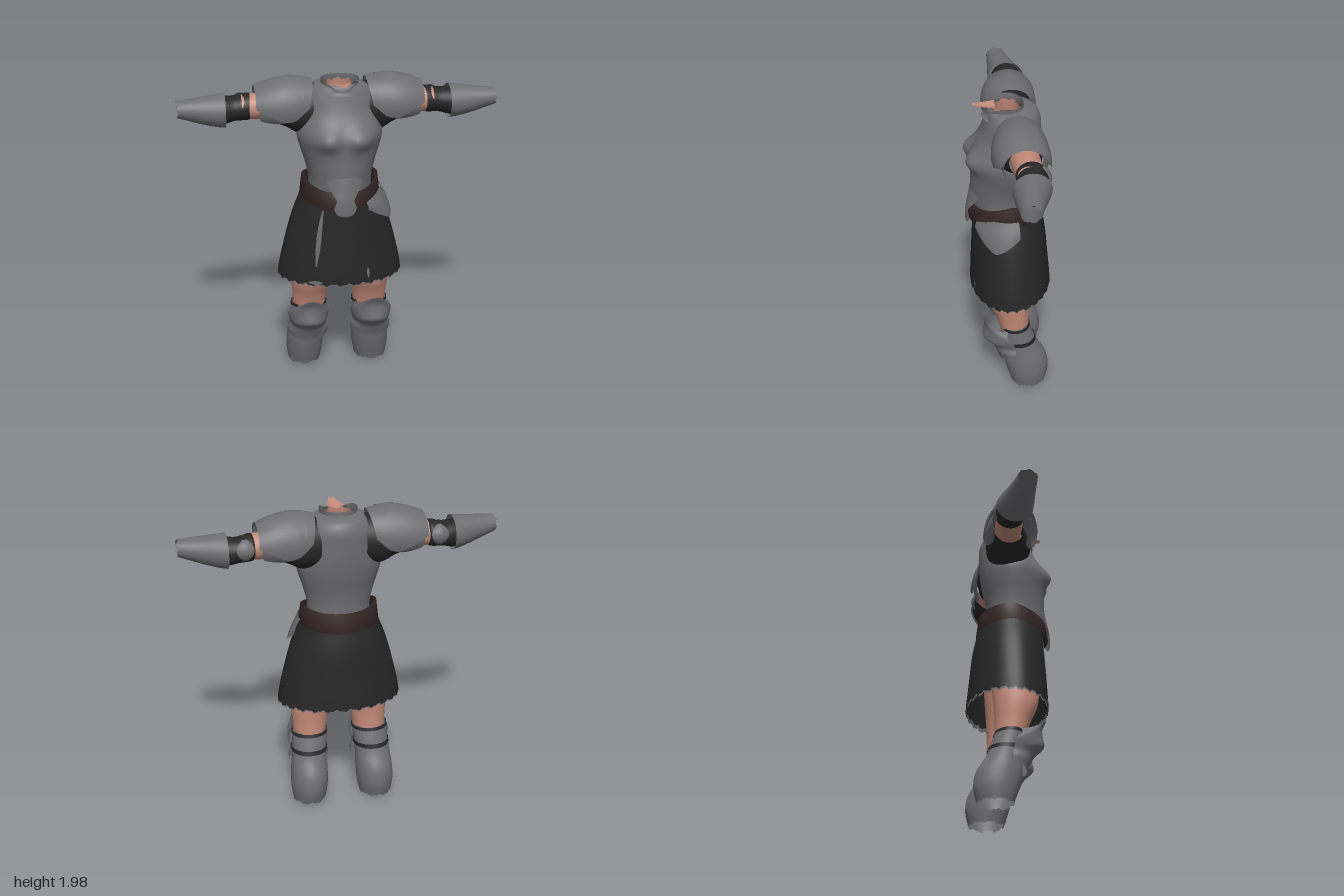
import * as THREE from 'three';

const mat = (name, color) => new THREE.MeshStandardMaterial({ name, color, side: THREE.DoubleSide });
const PI = Math.PI;

// Smooth sample of a list of number rows, t in 0..1
function sample(keys, t) {
  const f = Math.min(Math.max(t, 0), 1) * (keys.length - 1);
  const i = Math.min(Math.floor(f), keys.length - 2), k = f - i;
  const at = (j) => keys[Math.min(Math.max(j, 0), keys.length - 1)];
  const [a, b, c, d] = [at(i - 1), at(i), at(i + 1), at(i + 2)];
  return b.map((q, n) => q + 0.5 * k * (c[n] - a[n]
    + k * (2 * a[n] - 5 * q + 4 * c[n] - d[n] + k * (3 * (q - c[n]) + d[n] - a[n]))));
}

// Surface from a rule fn(u, v) -> [x, y, z]; wrap joins u = 1 to u = 0
function surface(name, material, nu, nv, fn, wrap = false) {
  const pos = [], idx = [], cols = wrap ? nu : nu + 1;
  for (let j = 0; j <= nv; j++)
    for (let i = 0; i < cols; i++) pos.push(...fn(i / nu, j / nv));
  for (let j = 0; j < nv; j++)
    for (let i = 0; i < nu; i++) {
      const a = j * cols + i, b = j * cols + (i + 1) % cols;
      idx.push(a, b, a + cols, b, b + cols, a + cols);
    }
  const g = new THREE.BufferGeometry();
  g.setAttribute('position', new THREE.Float32BufferAttribute(pos, 3));
  g.setIndex(idx);
  g.computeVertexNormals();
  const m = new THREE.Mesh(g, material);
  m.name = name;
  return m;
}

const jagged = (u, n) => Math.sin(u * n * 6.283) * 0.6 + Math.sin(u * n * 14.3 + 1) * 0.4;

// Upright shell, rows [y, cx, cz, rx, rzFront, rzBack]
function upright(name, material, keys, { s = 1, nu = 40, nv = 24, jag = 0, warp } = {}) {
  return surface(name, material, nu, nv, (u, v) => {
    const [y, cx, cz, rx, f, b] = sample(keys, v), a = u * 2 * PI, sn = Math.sin(a);
    const p = [cx + rx * Math.cos(a), y, cz + (sn > 0 ? f : b) * sn];
    if (v === 1) p[1] += jag * jagged(u, 7);
    if (warp) warp(p, a, v);
    return [p[0] * s, p[1], p[2]];
  }, true);
}

// Shell along the arm, rows [x, cy, cz, ry, rz, start angle]; open below when arc is set
function sideways(name, material, keys, { s = 1, nu = 32, nv = 14, jag = 0, arc = false, warp } = {}) {
  return surface(name, material, nu, nv, (u, v) => {
    const [x, cy, cz, ry, rz, a0 = 0] = sample(keys, v);
    const a = arc ? a0 + u * (PI - 2 * a0) : u * 2 * PI;
    const p = [x, cy + ry * Math.sin(a), cz + rz * Math.cos(a)];
    if (v === 1) p[0] += jag * jagged(u, 6);
    if (warp) warp(p, a, v);
    return [p[0] * s, p[1], p[2]];
  }, !arc);
}

// Skirt rule, shared by everything that lies on the skirt
const skirtRows = [[0.235, 0.215, 0.195], [0.305, 0.225, 0.235], [0.36, 0.235, 0.255], [0.4, 0.243, 0.273]];
function onSkirt(a, y, off = 0) {
  const [rx, f, b] = sample(skirtRows, (1.3 - y) / 0.6), sn = Math.sin(a);
  return [(rx + off) * Math.cos(a), y, ((sn > 0 ? f : b) + off) * sn];
}
const hem = (u) => 0.7 - 0.015 * Math.sin(u * 2 * PI) + 0.012 * jagged(u, 26);

export function createModel() {
  const steel = mat('steel', 0x6e6e71);
  const cloth = mat('black cloth', 0x262626);
  const skin = mat('skin', 0xc48a79);
  const leather = mat('dark leather', 0x352525);
  const model = new THREE.Group();
  model.name = 'armouredOutfit';
  const add = (...m) => model.add(...m);

  // Cuirass with shaped chest
  add(upright('cuirass', steel, [
    [1.24, 0, 0, 0.2, 0.21, 0.14], [1.36, 0, 0, 0.2, 0.23, 0.14], [1.46, 0, 0, 0.222, 0.232, 0.15],
    [1.55, 0, 0, 0.25, 0.23, 0.17], [1.63, 0, 0, 0.268, 0.228, 0.185], [1.71, 0, 0, 0.255, 0.2, 0.195],
    [1.79, 0, 0, 0.235, 0.165, 0.2], [1.87, 0, 0, 0.22, 0.14, 0.2], [1.93, 0, 0, 0.17, 0.125, 0.17],
    [1.95, 0, 0, 0.11, 0.11, 0.1]], {
    nu: 64, nv: 44,
    warp: (p, a) => {
      if (Math.sin(a) > 0)
        p[2] += 0.055 * Math.exp(-(((Math.abs(p[0]) - 0.11) / 0.085) ** 2) - ((p[1] - 1.635) / 0.07) ** 2);
    },
  }));

  // Tongue plate in front of the belt
  const tongue = [[1.4, 0.12, 0.237], [1.32, 0.09, 0.252], [1.26, 0.055, 0.264], [1.21, 0.07, 0.268], [1.17, 0.05, 0.268], [1.155, 0.01, 0.264]];
  add(surface('tonguePlate', steel, 10, 20, (u, v) => {
    const [y, w, z] = sample(tongue, v), x = (u * 2 - 1) * w;
    return [x, y, z - 4 * x * x];
  }));

  // Gorget collar, dipping at the front, with neck and chin remnant inside
  add(upright('collar', steel, [
    [1.89, 0, 0.01, 0.135, 0.15, 0.13], [1.93, 0, 0.01, 0.115, 0.13, 0.11], [1.975, 0, 0.01, 0.118, 0.125, 0.105]], {
    nv: 8,
    warp: (p, a, v) => { p[1] -= 0.05 * v * Math.max(0, Math.sin(a)) ** 3; },
  }));
  add(upright('neck', skin, [[1.86, 0, 0, 0.095, 0.1, 0.08], [1.91, 0, 0, 0.085, 0.09, 0.075], [1.95, 0, 0, 0.08, 0.085, 0.07]], { nv: 6, jag: 0.012 }));
  add(upright('neckLining', cloth, [[1.87, 0, 0, 0.09, 0.09, 0.075], [1.869, 0, 0, 0.002, 0.002, 0.002]], { nv: 2 }));
  add(surface('chin', skin, 10, 5, (u, v) => {
    const w = 0.055 * (1 - 0.7 * v), x = (u * 2 - 1) * w;
    return [x, 1.945 + 0.02 * v + 5 * x * x, 0.075 + 0.135 * v];
  }));

  // Belt, lower at the front
  const beltRows = [[-0.02, 1], [0, 1], [0.014, -1], [-0.02, -1]];
  add(surface('belt', leather, 64, 3, (u, v) => {
    const a = u * 2 * PI, sn = Math.sin(a), [off, h] = beltRows[Math.round(v * 3)];
    return [(0.24 + off) * Math.cos(a), 1.3 - (sn > 0 ? 0.055 : -0.015) * sn + h * (0.06 - 0.012 * Math.max(0, sn)),
      ((sn > 0 ? 0.238 : 0.2) + off) * sn];
  }, true));

  // Skirt with ragged hem, pale hem edge and slits
  add(surface('skirt', cloth, 180, 16, (u, v) => onSkirt(u * 2 * PI, 1.3 + (hem(u) - 1.3) * v), true));
  add(surface('hemLining', steel, 180, 1, (u, v) => onSkirt(u * 2 * PI, hem(u) - 0.01 + 0.025 * v, -0.006), true));
  const slit = (a0, a1, w, top, bottom) => add(surface('skirtSlit', steel, 3, 12, (u, v) =>
    onSkirt(a0 + (a1 - a0) * v + w * (u - 0.5) * Math.sin(0.35 + v * 2.6), top + (bottom - top) * v, 0.004)));
  slit(2.07, 2.06, 0.1, 1.18, 0.81);
  slit(1.18, 1.18, 0.05, 0.79, 0.72);
  slit(2.05, 2.05, 0.25, 0.715, 0.69);

  // Hip plate on the left side
  add(surface('hipPlate', steel, 20, 10, (u, v) => {
    const a = -0.2 + u * 1.25;
    const top = 1.275 - 0.05 * Math.max(0, u - 0.55) / 0.45;
    const low = 1.08 + 0.1 * Math.abs(u - 0.5) ** 1.3 * 2.4;
    return onSkirt(a, top + (low - top) * v, 0.02 + 0.012 * Math.sin(v * PI * 0.8));
  }));

  for (const s of [1, -1]) {
    const side = s > 0 ? 'left' : 'right';
    const arm = new THREE.Group(), leg = new THREE.Group();
    arm.name = side + 'Arm';
    leg.name = side + 'Leg';
    add(arm, leg);

    // Undershirt sleeve, bare upper arm and elbow cloth
    arm.add(sideways('shirtSleeve', cloth, [[0.14, 1.78, -0.03, 0.16, 0.14], [0.25, 1.775, -0.04, 0.15, 0.145], [0.33, 1.785, -0.05, 0.12, 0.12], [0.41, 1.79, -0.06, 0.095, 0.095]], { s }));
    arm.add(sideways('upperArm', skin, [[0.3, 1.79, -0.06, 0.088, 0.088], [0.48, 1.795, -0.065, 0.082, 0.085], [0.6, 1.795, -0.07, 0.076, 0.08]], { s }));
    arm.add(sideways('elbowCloth', cloth, [[0.54, 1.795, -0.075, 0.072, 0.08], [0.56, 1.795, -0.075, 0.084, 0.09], [0.64, 1.785, -0.08, 0.078, 0.088], [0.7, 1.78, -0.07, 0.087, 0.095], [0.74, 1.78, -0.065, 0.085, 0.09]], { s }));
    // Elbow cup at the back of the arm
    arm.add(surface('elbowCup', steel, 10, 8, (u, v) => {
      const a = PI - 0.95 + u * 1.5, w = 0.012 + 0.042 * Math.sin(u * PI);
      const bulge = 0.094 + 0.016 * Math.sin(v * PI) * Math.sin(u * PI);
      return [s * (0.6 + (v * 2 - 1) * w), 1.79 + bulge * Math.sin(a), -0.078 + bulge * Math.cos(a)];
    }));
    // Forearm guard, open at the wrist
    arm.add(sideways('forearmGuard', steel, [[0.7, 1.78, -0.063, 0.108, 0.116], [0.76, 1.782, -0.055, 0.1, 0.105], [0.85, 1.79, -0.042, 0.083, 0.085], [0.93, 1.8, -0.032, 0.065, 0.07], [0.99, 1.808, -0.025, 0.052, 0.06]], { s, jag: 0.011 }));

    // Shoulder plates: lower lame, main dome and raised ridge
    arm.add(sideways('lowerShoulderPlate', steel, [[0.28, 1.805, -0.045, 0.15, 0.155, -0.45], [0.38, 1.805, -0.05, 0.14, 0.145, -0.75], [0.48, 1.8, -0.05, 0.125, 0.13, -0.6], [0.5, 1.8, -0.05, 0.12, 0.125, -0.35]], { s, arc: true }));
    arm.add(sideways('shoulderPlate', steel, [[0.2, 1.8, -0.04, 0.165, 0.15, 0.1], [0.28, 1.8, -0.04, 0.18, 0.168, -0.3], [0.36, 1.8, -0.04, 0.18, 0.172, -0.35], [0.44, 1.8, -0.045, 0.16, 0.165, -0.12], [0.52, 1.8, -0.05, 0.13, 0.145, 0.12]], {
      s, arc: true, nv: 20, warp: (p, a, v) => { p[0] -= 0.035 * (1 - v) ** 2 * Math.max(0, Math.sin(a)); },
    }));
    arm.add(sideways('shoulderRidge', steel, [[0.23, 1.8, -0.04, 0.18, 0.165, 0.35], [0.3, 1.8, -0.04, 0.186, 0.175, 0.9], [0.35, 1.8, -0.04, 0.185, 0.174, 1.5]], { s, arc: true, nv: 8 }));

    // Thigh
    leg.add(upright('thigh', skin, [[1.1, 0.125, 0.01, 0.125, 0.15, 0.16], [0.88, 0.155, 0.015, 0.135, 0.15, 0.155], [0.68, 0.186, 0.016, 0.13, 0.138, 0.138], [0.54, 0.196, -0.005, 0.112, 0.105, 0.11], [0.4, 0.2, -0.02, 0.1, 0.08, 0.1]], { s }));
    // Greave around the calf, open at the ankle
    const greave = [[0.48, 0.2, -0.02, 0.112, 0.085, 0.09], [0.4, 0.205, -0.035, 0.113, 0.1, 0.105], [0.31, 0.212, -0.06, 0.113, 0.11, 0.112], [0.21, 0.218, -0.09, 0.12, 0.14, 0.14], [0.11, 0.222, -0.108, 0.12, 0.135, 0.137], [0.015, 0.224, -0.112, 0.106, 0.11, 0.112]];
    leg.add(upright('greave', steel, greave, { s, jag: 0.012, nv: 30 }));
    // Straps behind the knee
    for (const t of [0.02, 0.27])
      leg.add(upright('kneeStrap', cloth, [0, 0.03, 0.06].map((d) => {
        const [y, cx, cz, rx, f, b] = sample(greave, t + d);
        return [y, cx, cz, rx + 0.005, f + 0.005, b + 0.005];
      }), { s, nv: 2 }));

    // Knee guard: front shell with peaked top, cup and flared lower edge
    const knee = [[0.03, 0.105, 0.17], [0.035, 0.125, 0.14], [0, 0.132, 0.178], [-0.01, 0.125, 0.195], [-0.02, 0.118, 0.15], [-0.02, 0.132, 0.12], [-0.02, 0.13, 0.1]];
    leg.add(surface('kneeGuard', steel, 28, 24, (u, v) => {
      const a = u * PI, peak = Math.sin(a) ** 2, [cz, rx, rz] = sample(knee, v);
      const top = 0.47 + 0.09 * peak, low = 0.255 - 0.04 * peak;
      return [s * (0.208 + rx * Math.cos(a)), top + (low - top) * v, cz + rz * Math.sin(a)];
    }));
  }
  return model;
}
